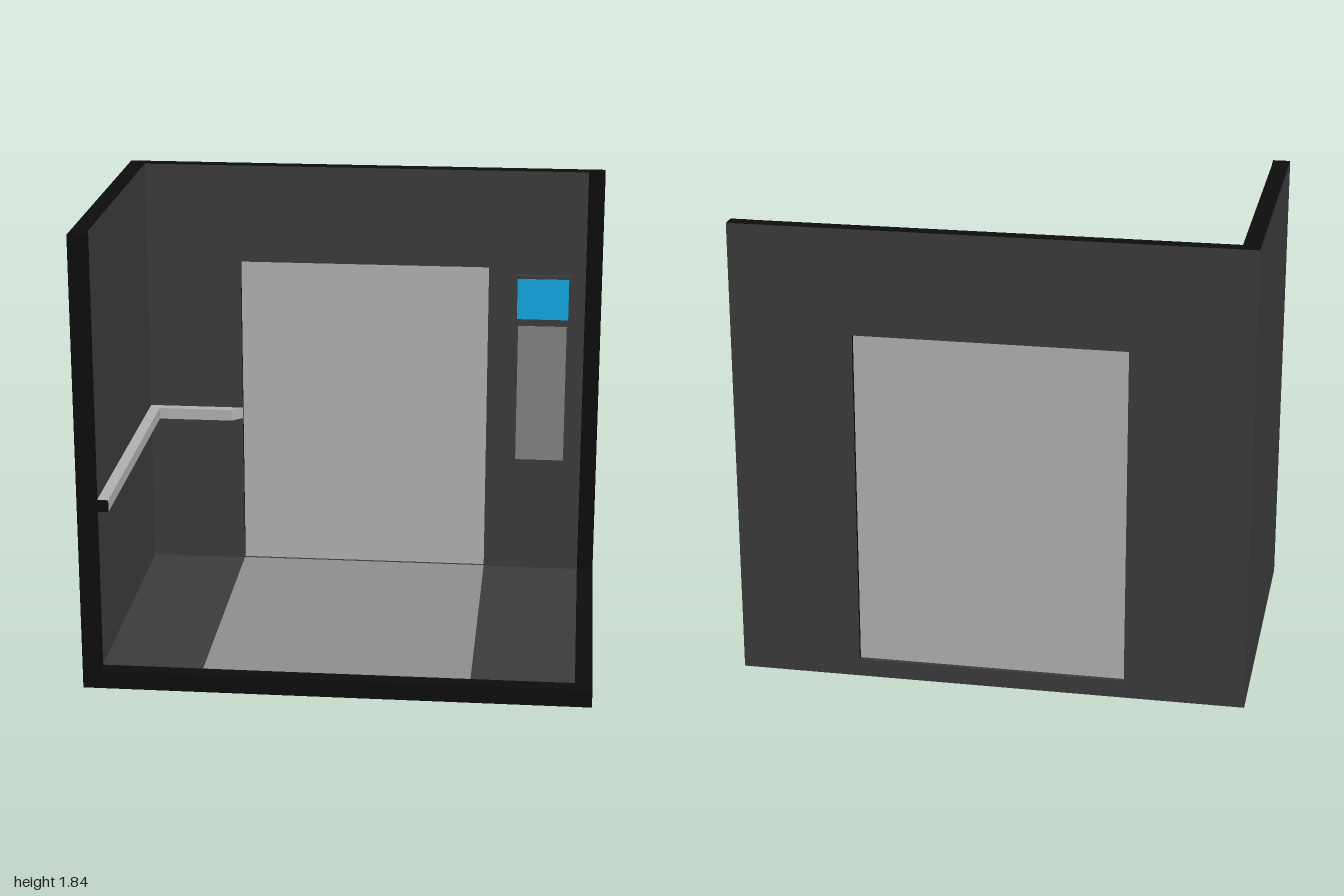
import * as THREE from 'three';

const paint = (color) => new THREE.MeshStandardMaterial({ color });

export function createModel() {
  const model = new THREE.Group();
  const panel = paint(0x3b3b3b), black = paint(0x0d0d0d), steel = paint(0xb0b0b0);
  const carpet = paint(0x8e8e8e), keys = paint(0x828282), blue = paint(0x10a6e0);

  const add = (name, geometry, material) => {
    const mesh = new THREE.Mesh(geometry, material);
    mesh.name = name;
    model.add(mesh);
    return mesh;
  };
  // Box given by its limits along each axis
  const box = (name, [x0, x1], [y0, y1], [z0, z1], material) => {
    const mesh = add(name, new THREE.BoxGeometry(x1 - x0, y1 - y0, z1 - z0), material);
    mesh.position.set((x0 + x1) / 2, (y0 + y1) / 2, (z0 + z1) / 2);
    return mesh;
  };
  const polygon = (points) => new THREE.Shape(points.map(([x, y]) => new THREE.Vector2(x, y)));

  // Shell: floor and side wall, with dark cut edges (material order +x -x +y -y +z -z)
  const top = 1.835, inX = 0.932, inZ = 0.607, outZ = 0.667, floorY = 0.072, t = 0.002;
  box('floor', [-1, 1], [0, floorY], [-outZ, outZ], [black, panel, panel, panel, black, panel]);
  box('sideWall', [-1, -inX], [floorY, top], [-outZ, outZ], [panel, panel, black, panel, black, panel]);

  // Back wall with the doorway cut out of its lower edge
  const doorL = -0.53, doorR = 0.525, doorTop = 1.42;
  const wall = polygon([[-inX, floorY], [doorL, floorY], [doorL, doorTop], [doorR, doorTop],
    [doorR, floorY], [1, floorY], [1, top], [-inX, top]]);
  add('backWall', new THREE.ExtrudeGeometry(wall, { depth: outZ - inZ, bevelEnabled: false }),
    [panel, black]).position.z = -outZ;

  // Dark borders along the open edges of the inner faces
  box('floorFrontTrim', [-inX, 1], [floorY - t, floorY + t], [inZ, outZ], black);
  box('floorSideTrim', [inX, 1], [floorY - t, floorY + t], [-inZ, inZ], black);
  box('sideWallTrim', [-inX - t, -inX + t], [floorY, top], [inZ, outZ], black);
  box('backWallTrim', [inX, 1], [floorY, top], [-inZ - t, -inZ + t], black);

  // Door set back in its opening, and the floor strip leading to it
  box('door', [doorL, doorR], [floorY, doorTop], [-0.65, -0.625], steel);
  box('floorStrip', [doorL, doorR], [floorY - t, floorY + t], [-inZ, inZ], carpet);

  // L-shaped handrail with an angled end; the plan is drawn as x, -z
  const rail = polygon([[-inX, -inZ], [-0.888, -inZ], [-0.888, 0.567], [-0.575, 0.567],
    [-0.53, inZ], [-inX, inZ]]);
  const railGeometry = new THREE.ExtrudeGeometry(rail, { depth: 0.048, bevelEnabled: false });
  railGeometry.rotateX(-Math.PI / 2);
  add('handrail', railGeometry, steel).position.y = 0.72;
  box('handrailEnd', [-inX, -0.888], [0.72, 0.768], [inZ - t, inZ + t], black);

  // Control unit on the back wall
  box('controlHousing', [0.636, 0.876], [0.562, 1.392], [-inZ, -0.582], panel);
  box('controlScreen', [0.647, 0.863], [1.205, 1.38], [-0.59, -0.579], blue);
  box('controlPad', [0.653, 0.858], [0.58, 1.175], [-0.59, -0.579], keys);

  return model;
}
